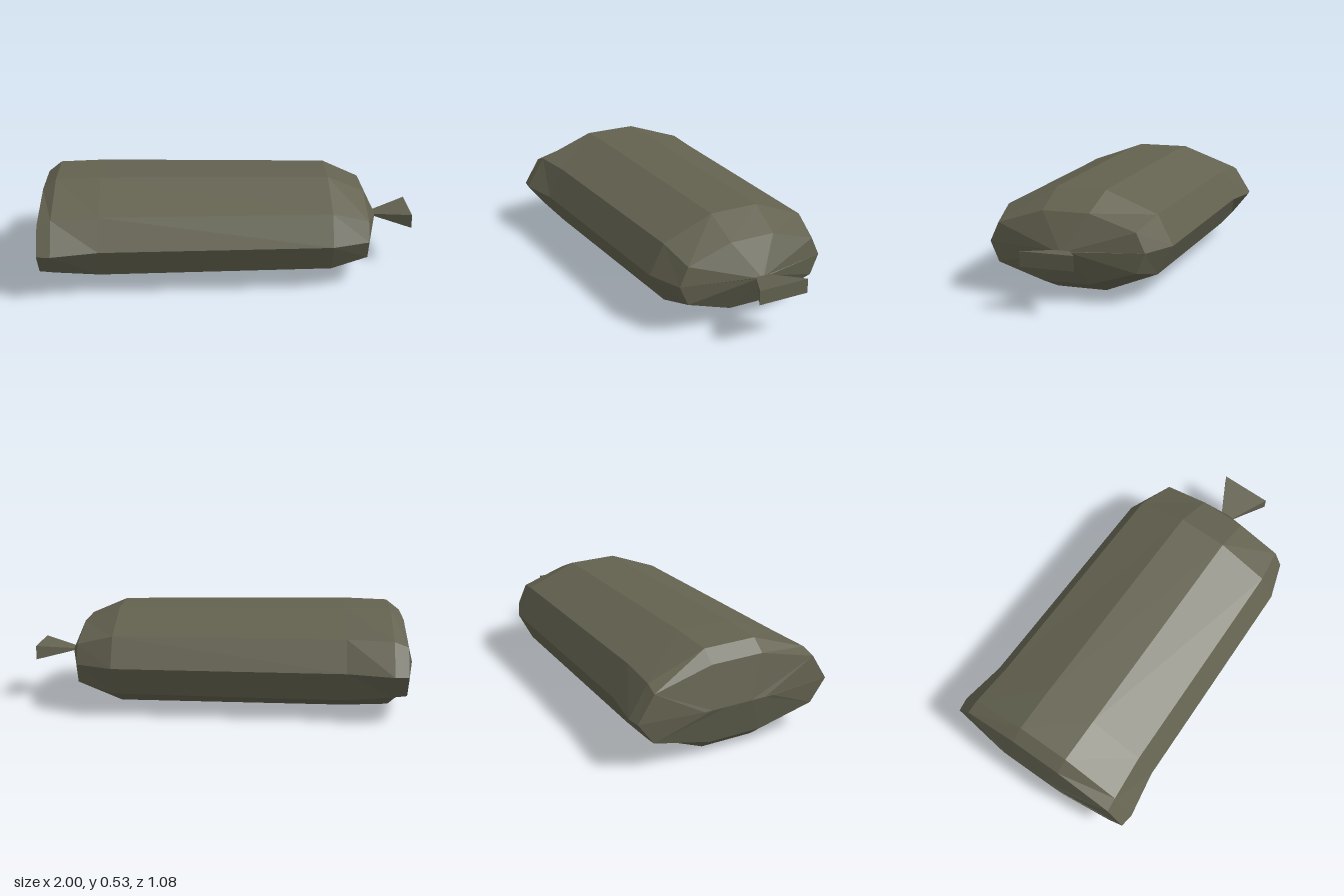
import * as THREE from 'three';

// Skins a row of equal-sized rings of [x, y, z] points and closes both ends.
function loft(rings) {
  const pos = [];
  const tri = (a, b, c) => pos.push(...a, ...b, ...c);
  const n = rings[0].length;
  for (let i = 0; i < rings.length - 1; i++) {
    for (let j = 0; j < n; j++) {
      const k = (j + 1) % n;
      const a = rings[i][j], b = rings[i][k], c = rings[i + 1][k], d = rings[i + 1][j];
      tri(a, d, b);
      tri(d, c, b);
    }
  }
  const first = rings[0], last = rings[rings.length - 1];
  for (let j = 1; j < n - 1; j++) {
    tri(first[0], first[j], first[j + 1]);
    tri(last[0], last[j + 1], last[j]);
  }
  const geo = new THREE.BufferGeometry();
  geo.setAttribute('position', new THREE.Float32BufferAttribute(pos, 3));
  geo.computeVertexNormals();
  return geo;
}

// Ten-sided section: flat top and bottom, sloped shoulders, pointed sides.
function bagRing([x, zc, topZ, shoulderZ, sideZ, top, upper, mid, lower, bottom]) {
  return [
    [topZ, top], [-topZ, top], [-shoulderZ, upper], [-sideZ, mid], [-shoulderZ, lower],
    [-topZ, bottom], [topZ, bottom], [shoulderZ, lower], [sideZ, mid], [shoulderZ, upper],
  ].map(([z, y]) => [x, y, z + zc]);
}

// Four-sided section for the tied neck.
function neckRing(x, halfY, halfZ) {
  return [[halfZ, halfY], [-halfZ, halfY], [-halfZ, -halfY], [halfZ, -halfY]]
    .map(([z, y]) => [x, 0.26 + y, z]);
}

export function createModel() {
  const group = new THREE.Group();
  const cloth = new THREE.MeshStandardMaterial({ color: 0x636250, flatShading: true });
  cloth.name = 'olive cloth';

  // Filled bag, from the sewn end to the gathered end
  const sections = [
    [-1.0, -0.01, 0.07, 0.15, 0.19, 0.262, 0.261, 0.26, 0.259, 0.258],
    [-0.955, 0, 0.14, 0.445, 0.53, 0.47, 0.39, 0.255, 0.14, 0.07],
    [-0.885, 0, 0.14, 0.44, 0.54, 0.525, 0.415, 0.257, 0.13, 0.012],
    [-0.65, 0, 0.14, 0.42, 0.5, 0.533, 0.42, 0.262, 0.105, 0.002],
    [0.54, 0, 0.13, 0.395, 0.473, 0.518, 0.413, 0.262, 0.112, 0.006],
    [0.73, 0.01, 0.12, 0.355, 0.4, 0.436, 0.36, 0.262, 0.16, 0.085],
    [0.815, 0, 0.01, 0.02, 0.03, 0.266, 0.263, 0.26, 0.257, 0.254],
  ];
  const bag = new THREE.Mesh(loft(sections.map(bagRing)), cloth);
  bag.name = 'bag';
  group.add(bag);

  // Flared cloth beyond the tie
  const neck = new THREE.Mesh(loft([neckRing(0.8, 0.004, 0.03), neckRing(1, 0.037, 0.135)]), cloth);
  neck.name = 'tiedNeck';
  group.add(neck);

  return group;
}
